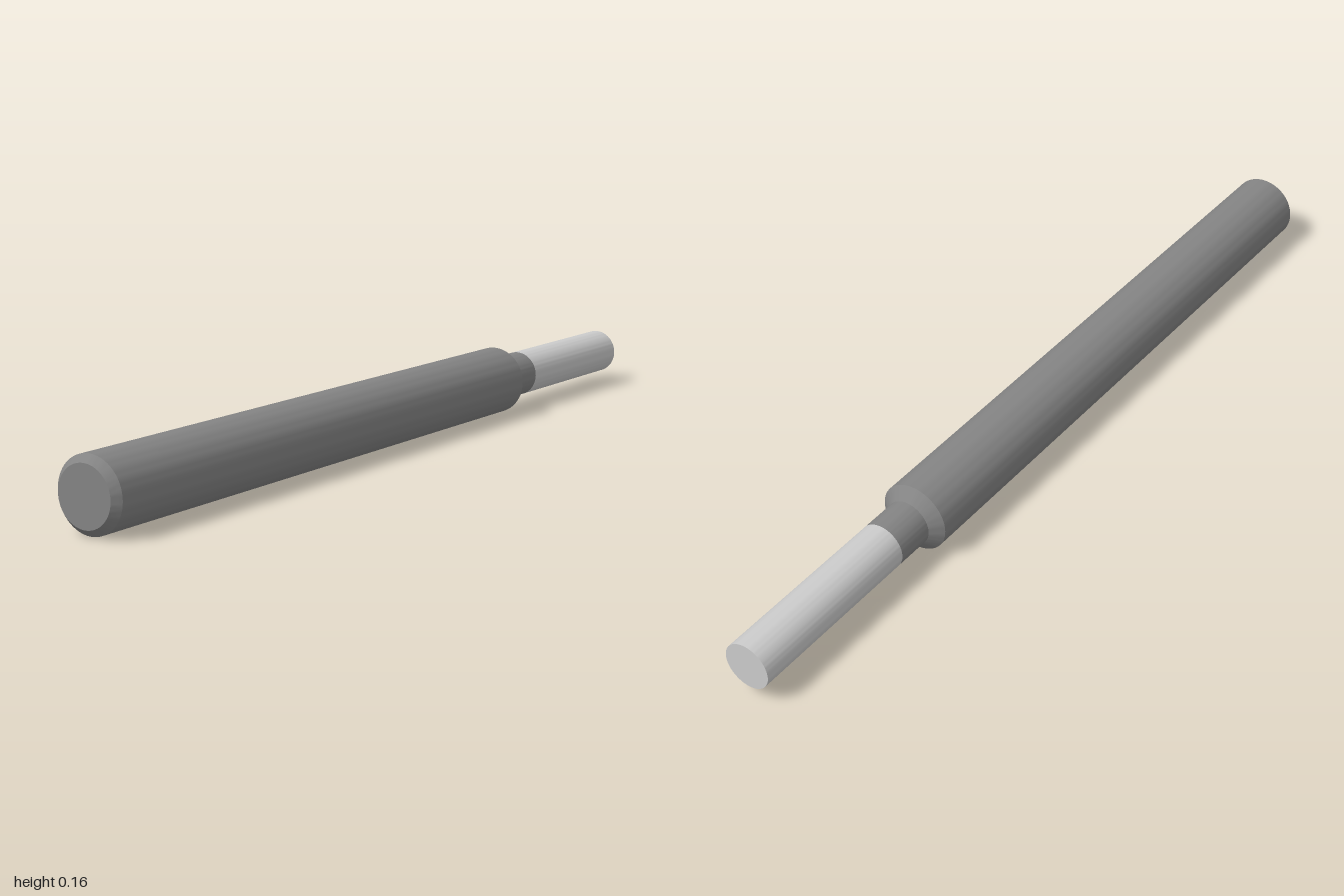
import * as THREE from 'three';
import { toCreasedNormals } from 'three/addons/utils/BufferGeometryUtils.js';

const RADIUS = 0.078; // handle
const ROD = 0.052; // neck and tip
const JOINT = -0.583; // z where the neck meets the tip

// Turned part along z; profile points are [radius, z], from back to front
function turned(name, profile, color) {
  const points = profile.map(([r, z]) => new THREE.Vector2(r, z));
  const geometry = toCreasedNormals(new THREE.LatheGeometry(points, 64), Math.PI / 7);
  geometry.rotateX(Math.PI / 2);
  const mesh = new THREE.Mesh(geometry, new THREE.MeshStandardMaterial({ color }));
  mesh.name = name;
  mesh.position.y = RADIUS;
  return mesh;
}

export function createModel() {
  const group = new THREE.Group();
  group.name = 'roundTool';

  // Dark handle with chamfered ends and a short neck
  group.add(turned('handle', [
    [0, JOINT],
    [ROD, JOINT],
    [ROD, -0.495],
    [RADIUS, -0.473],
    [RADIUS, 0.984],
    [0.063, 1],
    [0, 1],
  ], 0x848484));

  // Light rod at the back
  group.add(turned('tip', [
    [0, -1],
    [ROD, -1],
    [ROD, JOINT],
  ], 0xcccccc));

  return group;
}
